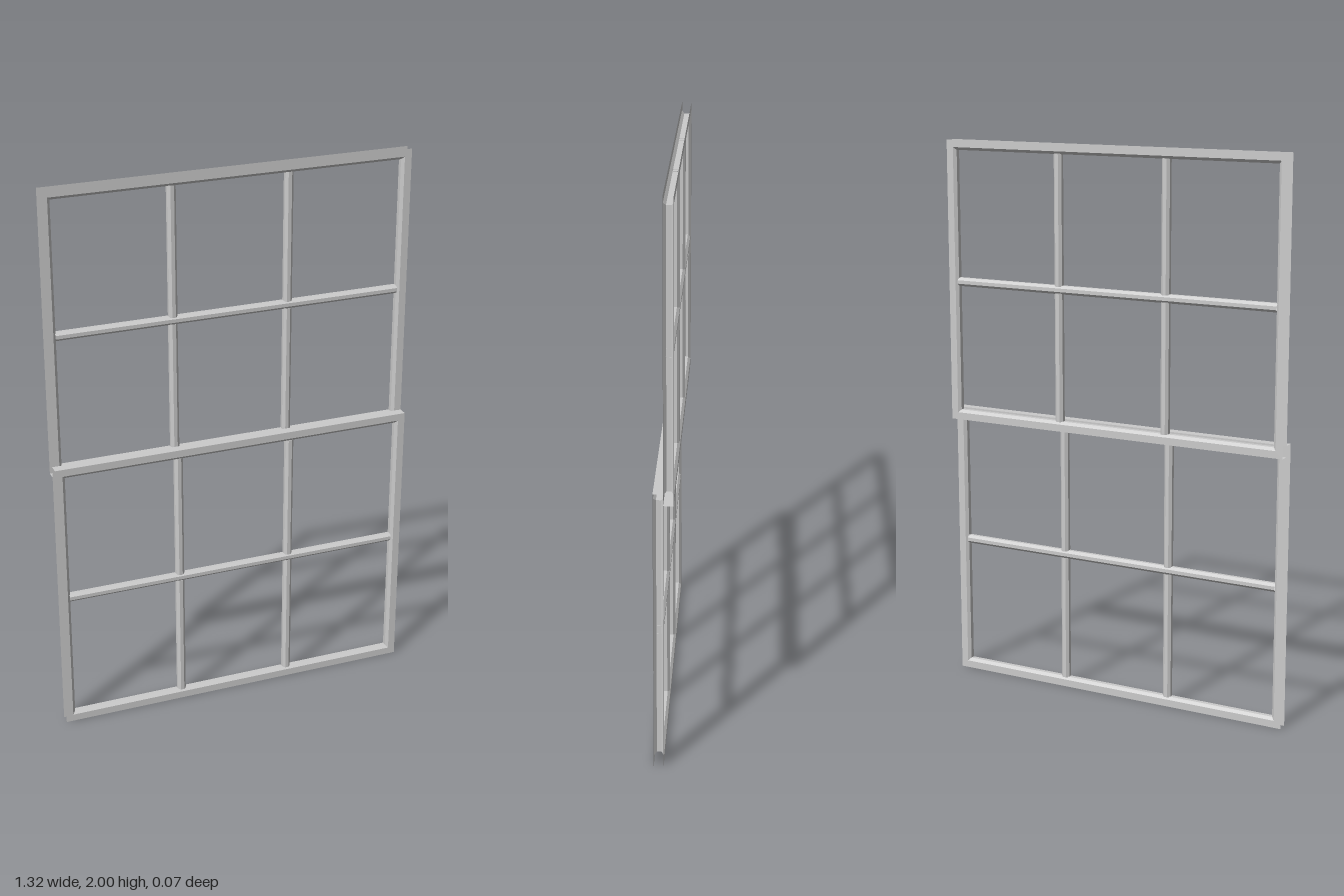
import * as THREE from 'three';

const material = new THREE.MeshStandardMaterial({
  color: 0xcccccc, flatShading: true, side: THREE.DoubleSide,
});

const HALF_W = 0.66;      // half width of a sash
const SASH_H = 1.02;      // height of a sash
const T = 0.017;          // half thickness of a sash
const RAIL = 0.036;       // rail width at its inner bevelled edge
const BAR_R = 0.0165;     // glazing bar radius

function addMesh(parent, geometry, name) {
  const mesh = new THREE.Mesh(geometry, material);
  mesh.name = name;
  parent.add(mesh);
  return mesh;
}

// Mitred frame: a channel profile (inset, z) swept round a rectangle, open on its outer edge
function frameGeometry() {
  const profile = [[0, T], [0.026, T], [RAIL, T - 0.009], [RAIL, 0.009 - T], [0.026, -T], [0, -T]];
  const corners = [[1, 1], [-1, 1], [-1, -1], [1, -1]];
  const point = (p, c) => [c[0] * (HALF_W - p[0]), c[1] * (SASH_H / 2 - p[0]), p[1]];
  const positions = [];
  for (let i = 0; i < profile.length - 1; i++) {
    for (let j = 0; j < 4; j++) {
      const c0 = corners[j], c1 = corners[(j + 1) % 4];
      const a = point(profile[i], c0), b = point(profile[i], c1);
      const c = point(profile[i + 1], c1), d = point(profile[i + 1], c0);
      positions.push(...a, ...b, ...c, ...a, ...c, ...d);
    }
  }
  const geometry = new THREE.BufferGeometry();
  geometry.setAttribute('position', new THREE.Float32BufferAttribute(positions, 3));
  geometry.computeVertexNormals();
  return geometry;
}

// Open eight-sided glazing bar along y
function barGeometry(length) {
  return new THREE.CylinderGeometry(BAR_R, BAR_R, length, 8, 1, true).rotateY(Math.PI / 8);
}

// One six-pane sash; capSide is +1 or -1 for the closed meeting rail at its top or bottom
function createSash(name, capSide) {
  const sash = new THREE.Group();
  sash.name = name;
  addMesh(sash, frameGeometry(), 'sashFrame');

  const crossBar = barGeometry(2 * (HALF_W - RAIL + 0.002)).rotateZ(Math.PI / 2);
  addMesh(sash, crossBar, 'horizontalBar');

  // Upright bars stop at the horizontal bar
  const start = 0.012, end = SASH_H / 2 - RAIL + 0.002;
  for (const x of [-0.21, 0.21]) {
    for (const side of [-1, 1]) {
      const bar = addMesh(sash, barGeometry(end - start), 'verticalBar');
      bar.position.set(x, side * (start + end) / 2, 0);
    }
  }

  // Flat strip closing the meeting rail
  const cap = new THREE.PlaneGeometry(2 * HALF_W, 2 * T).rotateX(-capSide * Math.PI / 2);
  addMesh(sash, cap, 'meetingRailCap').position.y = capSide * SASH_H / 2;
  return sash;
}

export function createModel() {
  const model = new THREE.Group();
  model.name = 'sashWindow';

  // The lower sash sits in front, the upper one behind; their meeting rails overlap
  const lower = createSash('lowerSash', 1);
  lower.position.set(0, SASH_H / 2, T);
  const upper = createSash('upperSash', -1);
  upper.position.set(0, 2 - SASH_H / 2, -T);
  model.add(lower, upper);
  return model;
}
